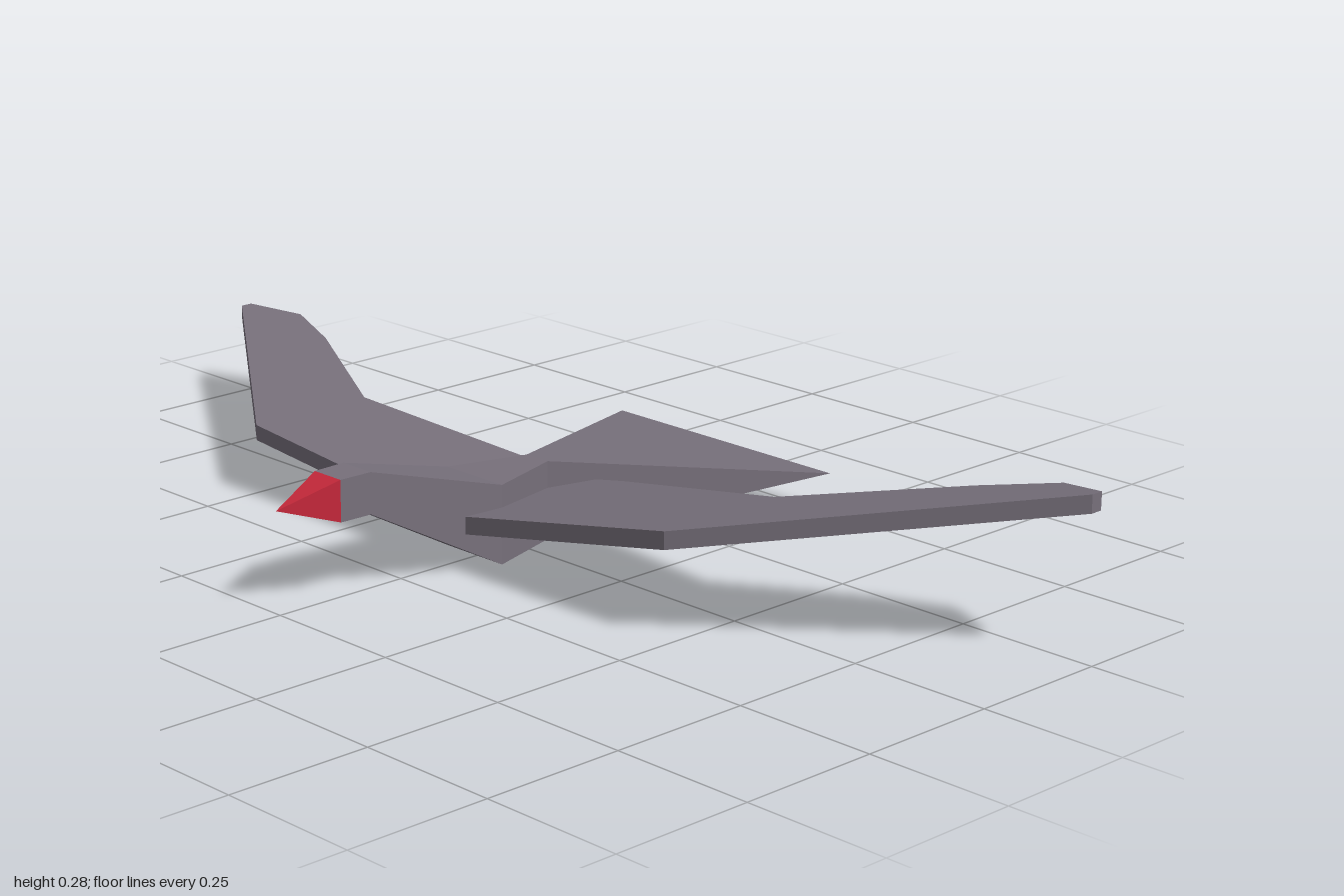
import * as THREE from 'three';

const plumage = new THREE.MeshStandardMaterial({ color: 0x77707b, flatShading: true });
const red = new THREE.MeshStandardMaterial({ color: 0xc4283a, flatShading: true });
const CENTRE_X = -0.005;

// Lofts rectangular sections [z, halfWidth, bottom, top], listed from front to back
function loft(sections) {
  const positions = [];
  const index = [];
  for (const [z, w, y0, y1] of sections) {
    positions.push(-w, y0, z, w, y0, z, w, y1, z, -w, y1, z);
  }
  const last = (sections.length - 1) * 4;
  for (let s = 0; s < last; s += 4) {
    for (let i = 0; i < 4; i++) {
      const j = (i + 1) % 4;
      index.push(s + i, s + 4 + i, s + j, s + j, s + 4 + i, s + 4 + j);
    }
  }
  index.push(0, 1, 2, 0, 2, 3, last, last + 2, last + 1, last, last + 3, last + 2);
  const indexed = new THREE.BufferGeometry();
  indexed.setAttribute('position', new THREE.Float32BufferAttribute(positions, 3));
  indexed.setIndex(index);
  const geometry = indexed.toNonIndexed();
  geometry.computeVertexNormals();
  return geometry;
}

// Wing plate: plan outline [distance from centre, z], tilted upwards towards the tip
function wing(side, rise, rootY, thickness) {
  const outline = [
    [0, 0.157], [0.49, 0.148], [1, -0.23], [1, -0.252], [0.9, -0.29],
    [0.77, -0.242], [0.49, -0.095], [0.12, -0.13], [0, -0.13],
  ];
  const shape = new THREE.Shape(outline.map(([x, z]) => new THREE.Vector2(side * x, -z)));
  const geometry = new THREE.ExtrudeGeometry(shape, { depth: thickness, bevelEnabled: false });
  geometry.rotateX(-Math.PI / 2);
  const p = geometry.attributes.position;
  for (let i = 0; i < p.count; i++) {
    p.setY(i, p.getY(i) + rootY + rise * Math.abs(p.getX(i)));
  }
  geometry.computeVertexNormals();
  return geometry;
}

export function createModel() {
  const bird = new THREE.Group();
  bird.name = 'bird';
  const add = (name, geometry, material, x = 0) => {
    const mesh = new THREE.Mesh(geometry, material);
    mesh.name = name;
    mesh.position.x = x;
    bird.add(mesh);
  };

  // Head, neck and belly
  add('body', loft([
    [0.395, 0.031, 0.135, 0.205],
    [0.335, 0.033, 0.135, 0.205],
    [0.085, 0.066, 0, 0.136],
    [-0.055, 0.025, 0, 0.136],
  ]), plumage, CENTRE_X);

  // Tail fans out to a sharp horizontal edge
  add('tail', loft([
    [-0.055, 0.025, 0, 0.136],
    [-0.5, 0.25, 0.07, 0.07],
  ]), plumage, CENTRE_X);

  // Pointed beak
  add('beak', loft([
    [0.5, 0, 0.17, 0.17],
    [0.395, 0.031, 0.135, 0.205],
  ]), red, CENTRE_X);

  // The left wing is raised higher than the right
  add('leftWing', wing(1, 0.19, 0.056, 0.03), plumage);
  add('rightWing', wing(-1, 0.079, 0.06, 0.027), plumage);

  return bird;
}
